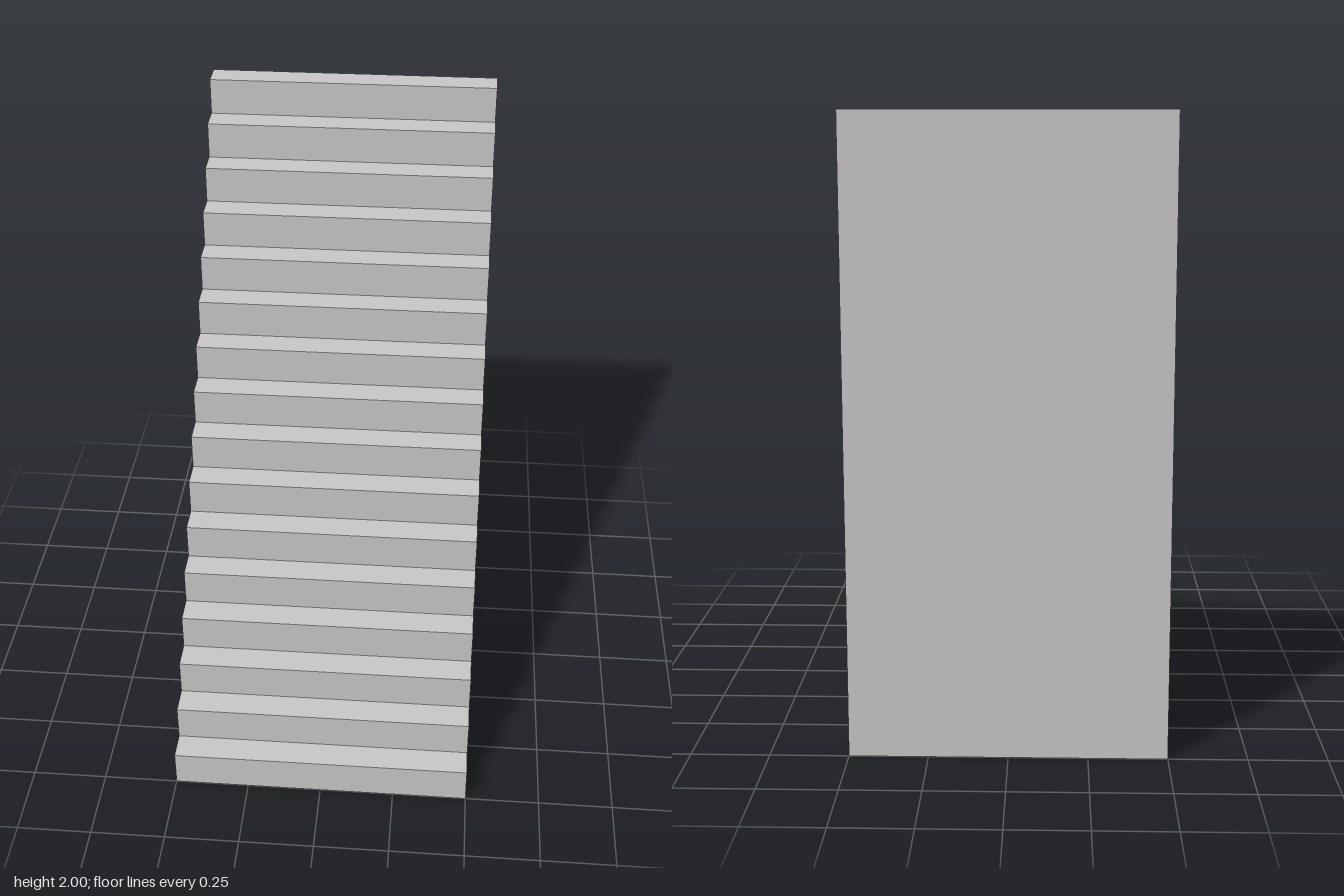
import * as THREE from 'three';

const STEPS = 16, WIDTH = 1, HEIGHT = 2, DEPTH = 1.5;

export function createModel() {
  const group = new THREE.Group();
  group.name = 'staircase';
  const stone = new THREE.MeshStandardMaterial({ color: 0xc8c8c8 });
  stone.name = 'light grey stone';

  // Side profile: shape x runs along the depth, front at +x
  const rise = HEIGHT / STEPS, run = DEPTH / STEPS;
  const profile = new THREE.Shape();
  profile.moveTo(-DEPTH / 2, 0);
  profile.lineTo(DEPTH / 2, 0);
  for (let i = 0; i < STEPS; i++) {
    const z = DEPTH / 2 - i * run;
    profile.lineTo(z, (i + 1) * rise); // riser
    profile.lineTo(z - run, (i + 1) * rise); // tread
  }
  profile.closePath();

  // Solid flight of steps, extruded across the width
  const geometry = new THREE.ExtrudeGeometry(profile, { depth: WIDTH, bevelEnabled: false });
  geometry.translate(0, 0, -WIDTH / 2);
  geometry.rotateY(-Math.PI / 2);
  const steps = new THREE.Mesh(geometry, stone);
  steps.name = 'steps';
  group.add(steps);
  return group;
}
